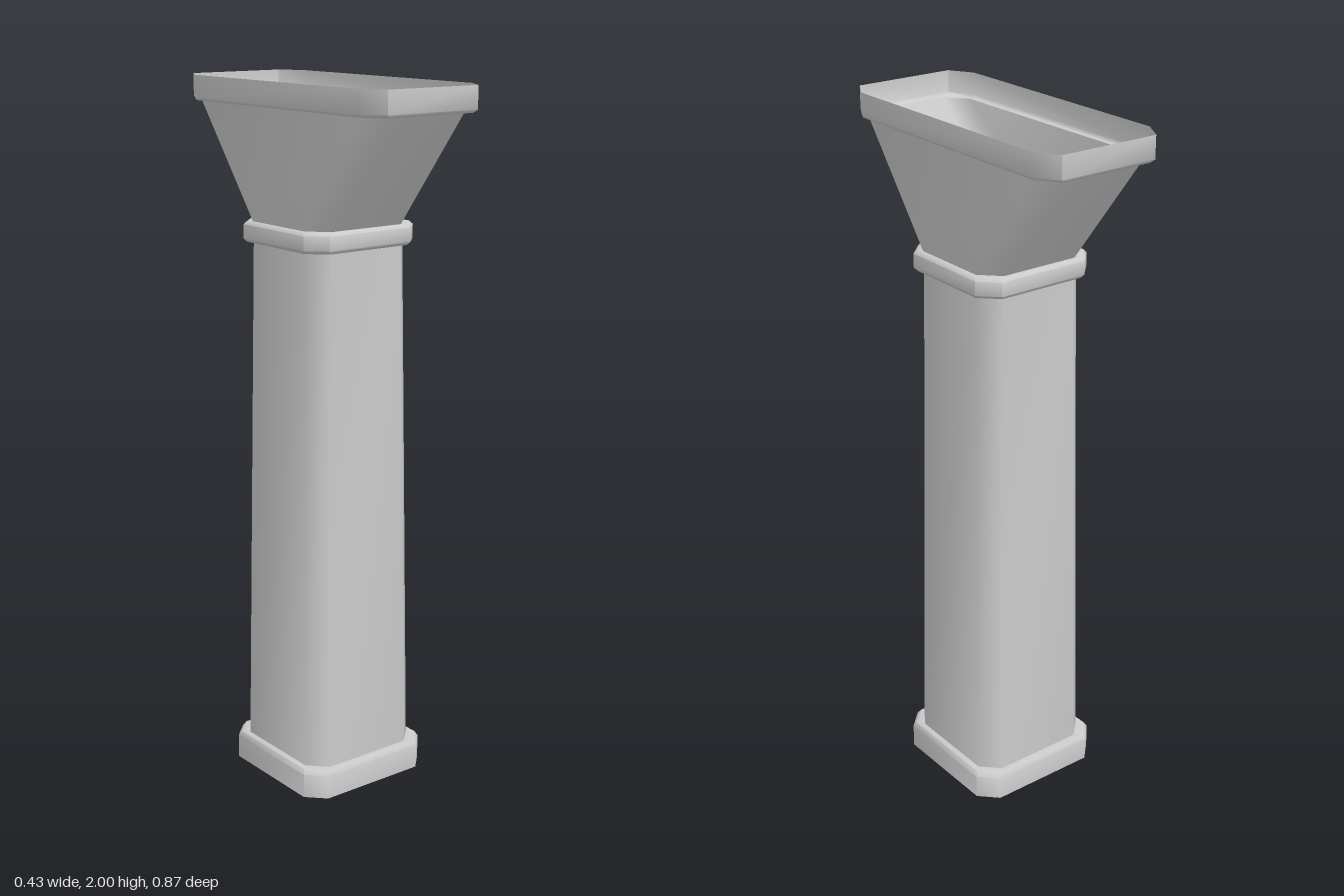
import * as THREE from 'three';
import { toCreasedNormals } from 'three/addons/utils/BufferGeometryUtils.js';

const material = new THREE.MeshStandardMaterial({ color: 0xcccccc, side: THREE.DoubleSide });

// Rectangle with cut corners: half sizes hx, hz and corner cuts cx, cz
function ring([y, hx, hz, cx, cz]) {
  return [
    [hx, hz - cz], [hx - cx, hz], [cx - hx, hz], [-hx, hz - cz],
    [-hx, cz - hz], [cx - hx, -hz], [hx - cx, -hz], [hx, cz - hz],
  ].map(([x, z]) => [x, y, z]);
}

// Open shell through sections listed from bottom to top
function shell(name, sections) {
  const positions = [], index = [];
  sections.forEach((s) => ring(s).forEach((p) => positions.push(...p)));
  for (let i = 0; i < sections.length - 1; i++) {
    for (let j = 0; j < 8; j++) {
      const a = i * 8 + j, b = i * 8 + (j + 1) % 8;
      index.push(a, a + 8, b, b, a + 8, b + 8);
    }
  }
  const geometry = new THREE.BufferGeometry();
  geometry.setAttribute('position', new THREE.Float32BufferAttribute(positions, 3));
  geometry.setIndex(index);
  const mesh = new THREE.Mesh(toCreasedNormals(geometry, 0.95), material);
  mesh.name = name;
  return mesh;
}

// Square section shorthand
const square = (y, h, c) => [y, h, h, c, c];

export function createModel() {
  const group = new THREE.Group();
  group.name = 'column';

  // Foot band with a ledge back to the shaft
  group.add(shell('base', [
    square(0, 0.213, 0.05), square(0.07, 0.213, 0.05),
    square(0.082, 0.205, 0.05), square(0.082, 0.188, 0.05),
  ]));

  // Tapering hollow shaft
  group.add(shell('shaft', [square(0.082, 0.188, 0.05), square(1.56, 0.168, 0.05)]));

  // Rounded band at the neck
  group.add(shell('collar', [
    square(1.56, 0.168, 0.05), square(1.56, 0.181, 0.05), square(1.569, 0.188, 0.05),
    square(1.608, 0.188, 0.05), square(1.617, 0.181, 0.05), square(1.617, 0.17, 0.052),
  ]));

  // Capital flaring only along z
  group.add(shell('capital', [
    square(1.617, 0.17, 0.052), [1.93, 0.17, 0.414, 0.05, 0.054],
  ]));

  // Open rim around the capital
  group.add(shell('rim', [
    [1.93, 0.17, 0.414, 0.05, 0.054], [1.93, 0.183, 0.428, 0.045, 0.06],
    [1.938, 0.189, 0.434, 0.04, 0.068], [2, 0.189, 0.434, 0.04, 0.068],
  ]));

  return group;
}
